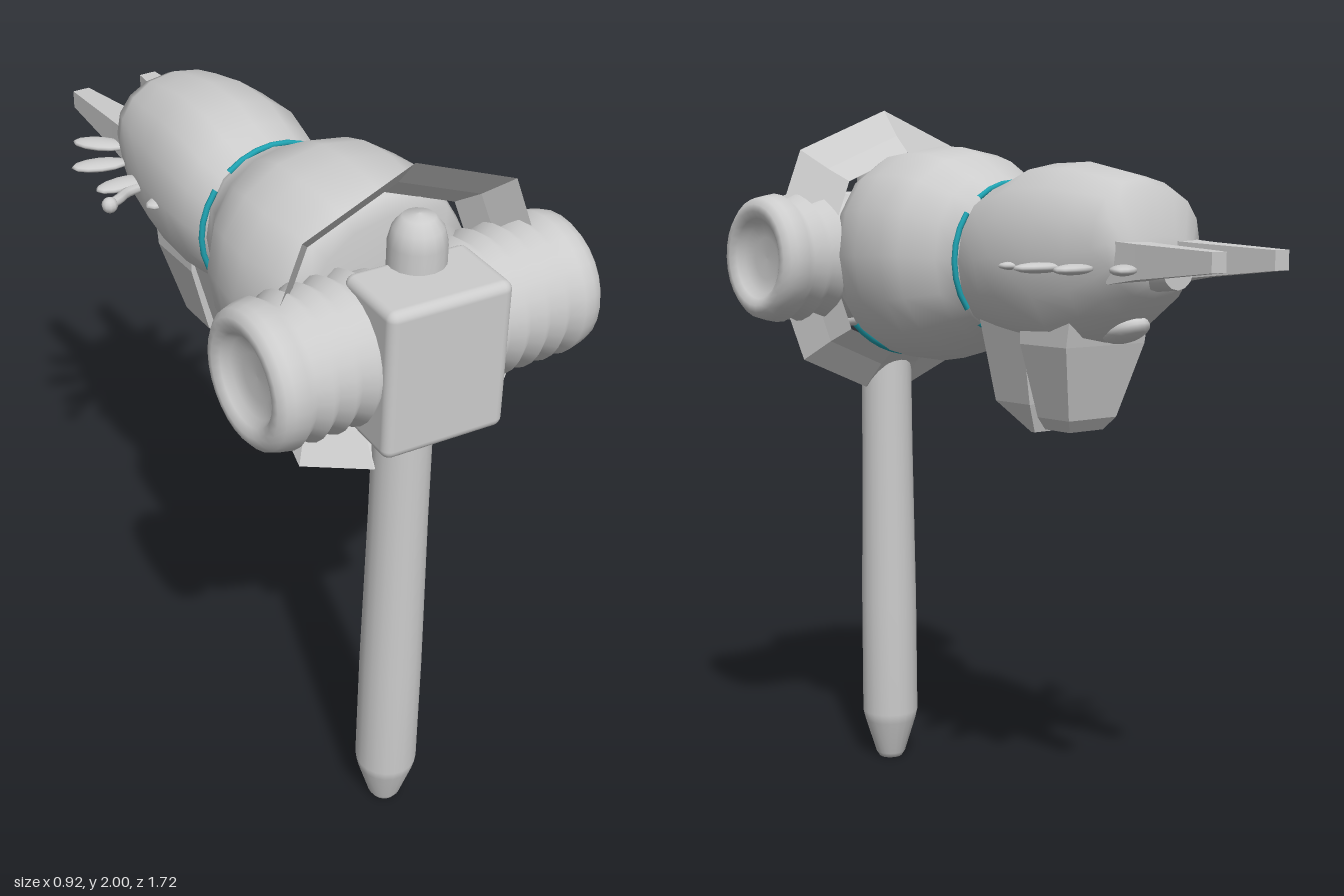
import * as THREE from 'three';
import { RoundedBoxGeometry } from 'three/addons/geometries/RoundedBoxGeometry.js';

const grey = new THREE.MeshStandardMaterial({ color: 0xcccccc, side: THREE.DoubleSide });
grey.name = 'pale grey';
const teal = new THREE.MeshStandardMaterial({ color: 0x1fa3b2 });
teal.name = 'teal';

function add(parent, name, geometry, material = grey, position = [0, 0, 0]) {
  const mesh = new THREE.Mesh(geometry, material);
  mesh.name = name;
  mesh.position.set(...position);
  parent.add(mesh);
  return mesh;
}

// Skin a list of equal-length point rings; optionally close both ends
function loft(rings, { caps = true, flat = false } = {}) {
  const n = rings[0].length, positions = [], index = [];
  for (const ring of rings) for (const p of ring) positions.push(...p);
  for (let r = 0; r < rings.length - 1; r++) {
    for (let i = 0; i < n; i++) {
      const a = r * n + i, b = r * n + (i + 1) % n;
      index.push(a, b, a + n, b, b + n, a + n);
    }
  }
  if (caps) {
    [0, rings.length - 1].forEach((r, end) => {
      const centre = positions.length / 3;
      const mid = [0, 1, 2].map(k => rings[r].reduce((s, p) => s + p[k], 0) / n);
      positions.push(...mid);
      for (let i = 0; i < n; i++) {
        const a = r * n + i, b = r * n + (i + 1) % n;
        index.push(...(end ? [centre, a, b] : [centre, b, a]));
      }
    });
  }
  let geometry = new THREE.BufferGeometry();
  geometry.setAttribute('position', new THREE.Float32BufferAttribute(positions, 3));
  geometry.setIndex(index);
  if (flat) geometry = geometry.toNonIndexed();
  geometry.computeVertexNormals();
  return geometry;
}

// Oval ring around the z axis: z, top, bottom, half width
function oval([z, top, bottom, rx], n = 16) {
  return Array.from({ length: n }, (_, i) => {
    // rings run from front to back, so corners go clockwise seen from the front
    const a = i / n * Math.PI * 2;
    const c = Math.cos(a), s = Math.sin(a);
    const round = v => Math.sign(v) * Math.pow(Math.abs(v), 0.92);
    return [rx * round(c), (top + bottom) / 2 + (top - bottom) / 2 * round(s), z];
  });
}
const ovals = list => loft(list.map(o => oval(o)));

// Rectangular ring across the y axis
const plate = (y, x, z0, z1) => [[-x, y, z0], [x, y, z0], [x, y, z1], [-x, y, z1]];

export function createModel() {
  const model = new THREE.Group();
  model.name = 'hammer';

  // Handle with tapered foot and rounded top
  const lathe = (pts, n) => new THREE.LatheGeometry(pts.map(p => new THREE.Vector2(...p)), n);
  add(model, 'handle', lathe([[0, 0], [0.035, 0], [0.045, 0.015], [0.078, 0.12], [0.085, 0.15],
    [0.084, 0.5], [0.077, 1.0], [0.074, 1.5]], 20), grey, [0, 0, 0.645]);
  add(model, 'topKnob', lathe([[0.072, 1.6], [0.072, 1.81], [0.062, 1.85], [0.04, 1.877], [0, 1.885]], 16),
    grey, [0, 0, 0.665]);

  // Central block
  const block = add(model, 'block', new RoundedBoxGeometry(0.33, 0.4, 0.22, 3, 0.025), grey, [-0.02, 1.56, 0.742]);
  block.rotation.y = -0.07;

  // Ribbed drums with dished ends
  const drum = [[0.165, 0.08]];
  for (let i = 0; i < 5; i++) drum.push([0.165, 0.12 + i * 0.06], [0.185, 0.15 + i * 0.06]);
  drum.push([0.178, 0.425], [0.172, 0.445], [0.155, 0.46], [0.135, 0.462], [0.115, 0.45], [0.1, 0.43], [0.06, 0.42], [0, 0.418]);
  for (const side of [-1, 1]) {
    const mesh = add(model, side > 0 ? 'leftDrum' : 'rightDrum', lathe(drum, 28), grey, [0, 1.57, 0.645]);
    mesh.rotation.z = -side * Math.PI / 2;
  }

  // Faceted open collar
  const half = [[0.3, 1.88], [0.36, 1.73], [0.36, 1.43], [0.3, 1.27], [0.08, 1.175]];
  const outline = [[0, 2], ...half, ...half.map(([x, y]) => [-x, y]).reverse()].reverse();
  const collar = (scale, z) => outline.map(([x, y]) => [x * scale, 1.58 + (y - 1.58) * scale, z]);
  add(model, 'collar', loft([collar(1, 0.642), collar(0.82, 0.58), collar(0.7, 0.525)], { caps: false, flat: true }));

  // Rounded rear body
  add(model, 'body', ovals([[0.55, 1.82, 1.34, 0.23], [0.52, 1.86, 1.3, 0.265], [0.46, 1.88, 1.28, 0.29],
    [0.36, 1.89, 1.27, 0.31], [0.26, 1.885, 1.285, 0.3], [0.19, 1.865, 1.305, 0.287],
    [0.1, 1.815, 1.345, 0.225], [0.04, 1.785, 1.365, 0.2], [-0.02, 1.77, 1.38, 0.19]]));

  // Head
  add(model, 'head', ovals([[0.06, 1.76, 1.38, 0.18], [0.03, 1.778, 1.368, 0.2], [-0.06, 1.805, 1.355, 0.218],
    [-0.14, 1.835, 1.345, 0.227], [-0.28, 1.838, 1.345, 0.217], [-0.4, 1.815, 1.385, 0.2],
    [-0.48, 1.795, 1.44, 0.18], [-0.52, 1.775, 1.49, 0.165], [-0.555, 1.65, 1.53, 0.11]]));

  // Two lobes hanging below the head
  add(model, 'rearLobe', loft([plate(1.11, 0.05, -0.115, -0.1), plate(1.19, 0.085, -0.135, 0.01),
    plate(1.42, 0.14, -0.165, 0.012), plate(1.5, 0.14, -0.17, 0.012)].map(r => r.reverse()).reverse(), { flat: true }));
  add(model, 'frontLobe', loft([plate(1.125, 0.06, -0.27, -0.17), plate(1.16, 0.085, -0.295, -0.168),
    plate(1.36, 0.14, -0.345, -0.16), plate(1.5, 0.14, -0.37, -0.16)].map(r => r.reverse()).reverse(), { flat: true }));

  // Nub under the chin and button nose
  const chin = add(model, 'chinNub', new THREE.SphereGeometry(1, 16, 10), grey, [0, 1.405, -0.42]);
  chin.scale.set(0.055, 0.033, 0.075);
  chin.rotation.x = 0.3;
  const nose = add(model, 'nose', new THREE.CylinderGeometry(0.055, 0.063, 0.09, 14), grey, [0, 1.57, -0.565]);
  nose.rotation.x = -Math.PI / 2;

  // Tapered horns and flat side petals
  const bar = (x, hx, y0, y1, z) => [[x - hx, y0, z], [x + hx, y0, z], [x + hx, y1, z], [x - hx, y1, z]];
  const petals = [[0.24, -0.352, 0], [0.24, -0.485, 0.3], [0.18, -0.6, 0.75], [0.06, -0.63, 1.45], [0.17, -0.215, -0.2]];
  for (const side of [-1, 1]) {
    const name = side > 0 ? 'left' : 'right';
    add(model, name + 'Horn', loft([bar(side * 0.095, 0.05, 1.53, 1.64, -0.5),
      bar(side * 0.098, 0.043, 1.545, 1.633, -0.6), bar(side * 0.11, 0.025, 1.57, 1.62, -0.855)], { flat: true }));
    for (const [x, z, angle] of petals) {
      const petal = add(model, name + 'Petal', new THREE.SphereGeometry(1, 12, 8), grey, [side * x, 1.57, z]);
      petal.scale.set(0.08, 0.014, 0.035);
      petal.rotation.y = side * angle;
    }
  }

  // Curled feeler on the right side
  const curl = new THREE.CatmullRomCurve3([[-0.18, 1.56, -0.33], [-0.25, 1.565, -0.31], [-0.29, 1.57, -0.28], [-0.325, 1.57, -0.265]]
    .map(p => new THREE.Vector3(...p)));
  add(model, 'feeler', new THREE.TubeGeometry(curl, 12, 0.014, 8));
  add(model, 'feelerTip', new THREE.SphereGeometry(0.022, 10, 8), grey, [-0.325, 1.57, -0.263]);

  // Teal neck band in four arcs
  for (let i = 0; i < 4; i++) {
    const band = add(model, 'neckBand', new THREE.TorusGeometry(0.212, 0.008, 8, 6, 1.3), teal, [0, 1.574, 0.03]);
    band.rotation.z = i * Math.PI / 2 - 0.65;
  }

  // Teal strip under the rear of the body
  const strip = add(model, 'bellyBand', new THREE.TorusGeometry(0.287, 0.015, 8, 10, 1.3), teal, [0, 1.58, 0.5]);
  strip.rotation.z = -2.05;
  return model;
}
